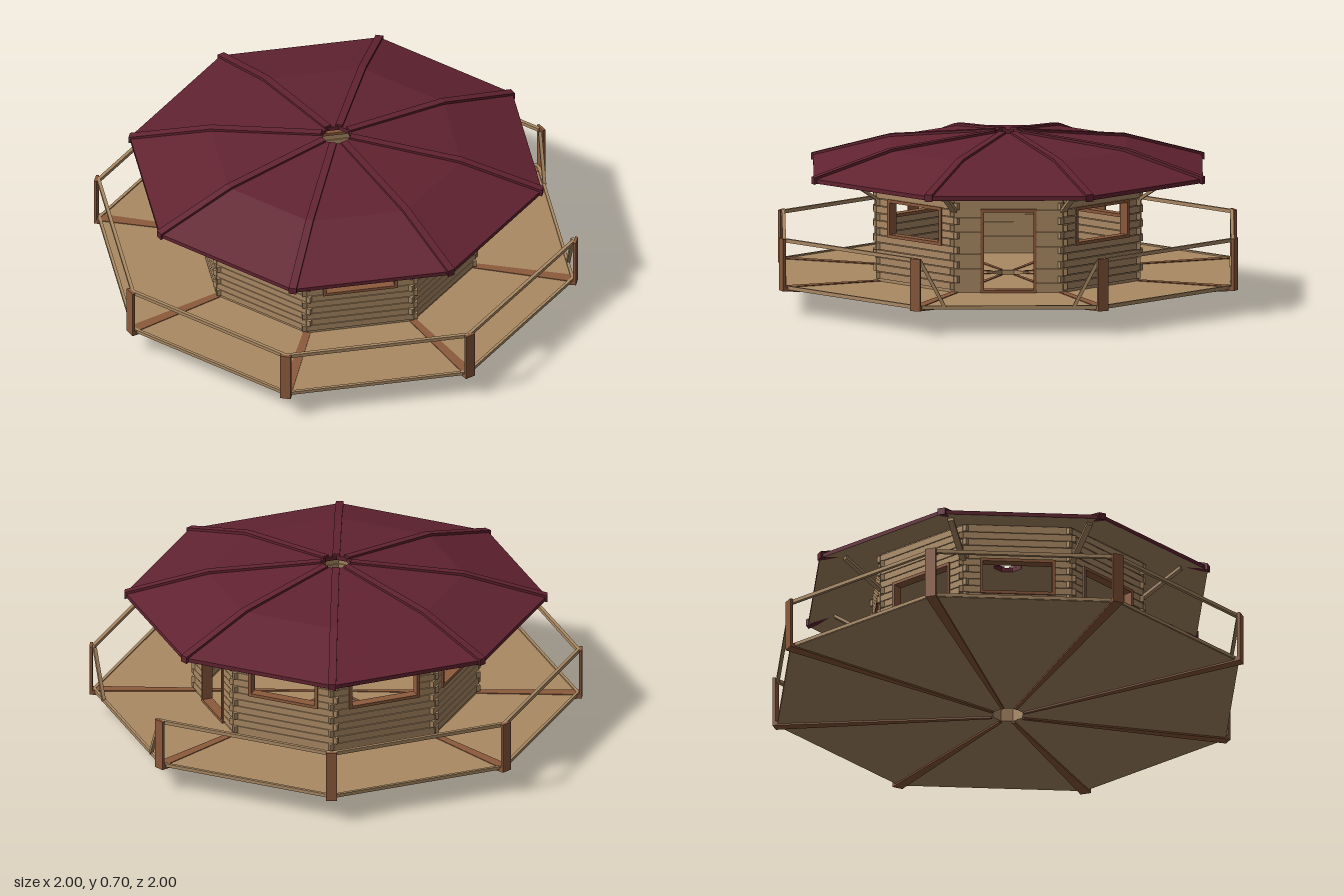
import * as THREE from 'three';

const STEP = Math.PI / 4;
const APO = Math.cos(STEP / 2);
const HALF = Math.sin(STEP / 2);

const makeMaterial = (name, color) => {
  const m = new THREE.MeshStandardMaterial({ color });
  m.name = name;
  return m;
};

export function createModel() {
  const wood = makeMaterial('paleWood', 0xab8a64);
  const timber = makeMaterial('brownTimber', 0x8c5a3c);
  const red = makeMaterial('darkRedRoofing', 0x622331);

  const model = new THREE.Group();
  model.name = 'octagonalCabin';

  const add = (parent, name, geometry, material) => {
    const mesh = new THREE.Mesh(geometry, material);
    mesh.name = name;
    parent.add(mesh);
    return mesh;
  };

  const box = (parent, name, material, w, h, d, x, y, z) => {
    const mesh = add(parent, name, new THREE.BoxGeometry(w, h, d), material);
    mesh.position.set(x, y, z);
    return mesh;
  };

  // Faceted eight-sided ring from an (r, y) profile
  const octagon = (name, material, profile) => {
    const points = profile.map(([r, y]) => new THREE.Vector2(r, y));
    const geometry = new THREE.LatheGeometry(points, 8).toNonIndexed();
    geometry.computeVertexNormals();
    return add(model, name, geometry, material);
  };

  // Group whose local z points outward at the given angle
  const outward = (name, angle) => {
    const group = new THREE.Group();
    group.name = name;
    group.rotation.y = Math.PI / 2 - angle;
    model.add(group);
    return group;
  };

  // Upright radial rib from an (r, y) outline, width going from inner to outer
  const ribGeometry = (outline, inner, outer) => {
    const shape = new THREE.Shape(outline.map(([r, y]) => new THREE.Vector2(r, y)));
    const geometry = new THREE.ExtrudeGeometry(shape, { depth: 1, bevelEnabled: false });
    geometry.translate(0, 0, -0.5).rotateY(-Math.PI / 2);
    const p = geometry.attributes.position;
    for (let i = 0; i < p.count; i++) {
      p.setX(i, p.getX(i) * THREE.MathUtils.lerp(inner, outer, Math.min(1, p.getZ(i))));
    }
    geometry.computeVertexNormals();
    return geometry;
  };

  // Platform: flat deck over a shallow inverted pyramid, open in the middle
  octagon('platform', wood, [[0.065, 0.006], [0.985, 0.1], [0.985, 0.11], [0.065, 0.11], [0.065, 0.006]]);

  // Roof: two slopes, with a smoke hole at the top
  octagon('roof', red, [[0.855, 0.528], [0.855, 0.545], [0.52, 0.64], [0.06, 0.69], [0.06, 0.672]]);
  octagon('ceiling', wood, [[0.06, 0.672], [0.52, 0.622], [0.855, 0.528]]);

  const floorRib = ribGeometry([[0.07, 0], [0.99, 0.095], [0.99, 0.113], [0.07, 0.113]], 0.01, 0.045);
  const roofRib = ribGeometry(
    [[0.06, 0.68], [0.52, 0.63], [0.858, 0.524], [0.858, 0.553], [0.52, 0.65], [0.06, 0.698]], 0.03, 0.032);
  const strut = ribGeometry([[0.58, 0.44], [0.74, 0.548], [0.74, 0.562], [0.58, 0.455]], 0.025, 0.025);

  // Corners: ribs, railing posts and eave struts
  for (let k = 0; k < 8; k++) {
    const corner = outward('corner', k * STEP);
    add(corner, 'floorRib', floorRib, timber);
    add(corner, 'roofRib', roofRib, red);
    add(corner, 'eaveStrut', strut, wood);
    box(corner, 'railingPost', timber, 0.045, 0.215, 0.012, 0, 0.2025, 0.994);
  }

  // Sides: log walls with openings, and railings
  const wallRadius = 0.575;
  const wallZ = wallRadius * APO;
  const wallHalf = wallRadius * HALF;
  const railZ = 0.985 * APO;
  const railHalf = 0.985 * HALF;

  for (let k = 0; k < 8; k++) {
    const entrance = k === 7;
    const side = outward(entrance ? 'entranceSide' : 'windowSide', (k + 0.5) * STEP);
    const half = entrance ? 0.11 : 0.15;
    const low = entrance ? 0.112 : 0.3;
    const high = 0.45;

    // Solid panel behind the logs
    const shape = new THREE.Shape();
    shape.moveTo(-wallHalf, 0.1).lineTo(wallHalf, 0.1).lineTo(wallHalf, 0.605).lineTo(-wallHalf, 0.605);
    const hole = new THREE.Path();
    hole.moveTo(-half, low).lineTo(-half, high).lineTo(half, high).lineTo(half, low);
    shape.holes.push(hole);
    const panel = add(side, 'wallPanel', new THREE.ExtrudeGeometry(shape, { depth: 0.02, bevelEnabled: false }), wood);
    panel.position.z = wallZ - 0.02;

    // Logs, interlocking at the corners
    for (let i = 0; i < 16; i++) {
      const y = 0.135 + i * 0.03;
      const end = wallHalf + ((i + k) % 2 ? 0.018 : 0.004);
      if (y > low && y < high) {
        for (const s of [-1, 1]) {
          box(side, 'wallLog', wood, end - half, 0.027, 0.03, s * (end + half) / 2, y, wallZ - 0.01);
        }
      } else {
        box(side, 'wallLog', wood, end * 2, 0.027, 0.03, 0, y, wallZ - 0.01);
      }
    }

    // Window or door frame
    const name = entrance ? 'doorFrame' : 'windowFrame';
    for (const s of [-1, 1]) {
      box(side, name, timber, 0.013, high - low, 0.042, s * (half - 0.003), (low + high) / 2, wallZ - 0.01);
    }
    box(side, name, timber, half * 2 + 0.007, 0.013, 0.042, 0, high - 0.003, wallZ - 0.01);
    box(side, name, timber, half * 2 + 0.007, 0.013, 0.042, 0, low + 0.003, wallZ - 0.01);

    // Railing, left open with two slanting braces at the entrance
    box(side, 'deckEdge', wood, railHalf * 2, 0.014, 0.012, 0, 0.109, railZ - 0.003);
    if (entrance) {
      for (const s of [-1, 1]) {
        const brace = box(side, 'entranceBrace', wood, 0.014, 0.22, 0.014, s * 0.312, 0.205, railZ);
        brace.rotation.z = -s * Math.atan2(0.1, 0.19);
      }
    } else {
      box(side, 'handrail', wood, railHalf * 2, 0.015, 0.014, 0, 0.302, railZ);
    }
  }

  return model;
}
